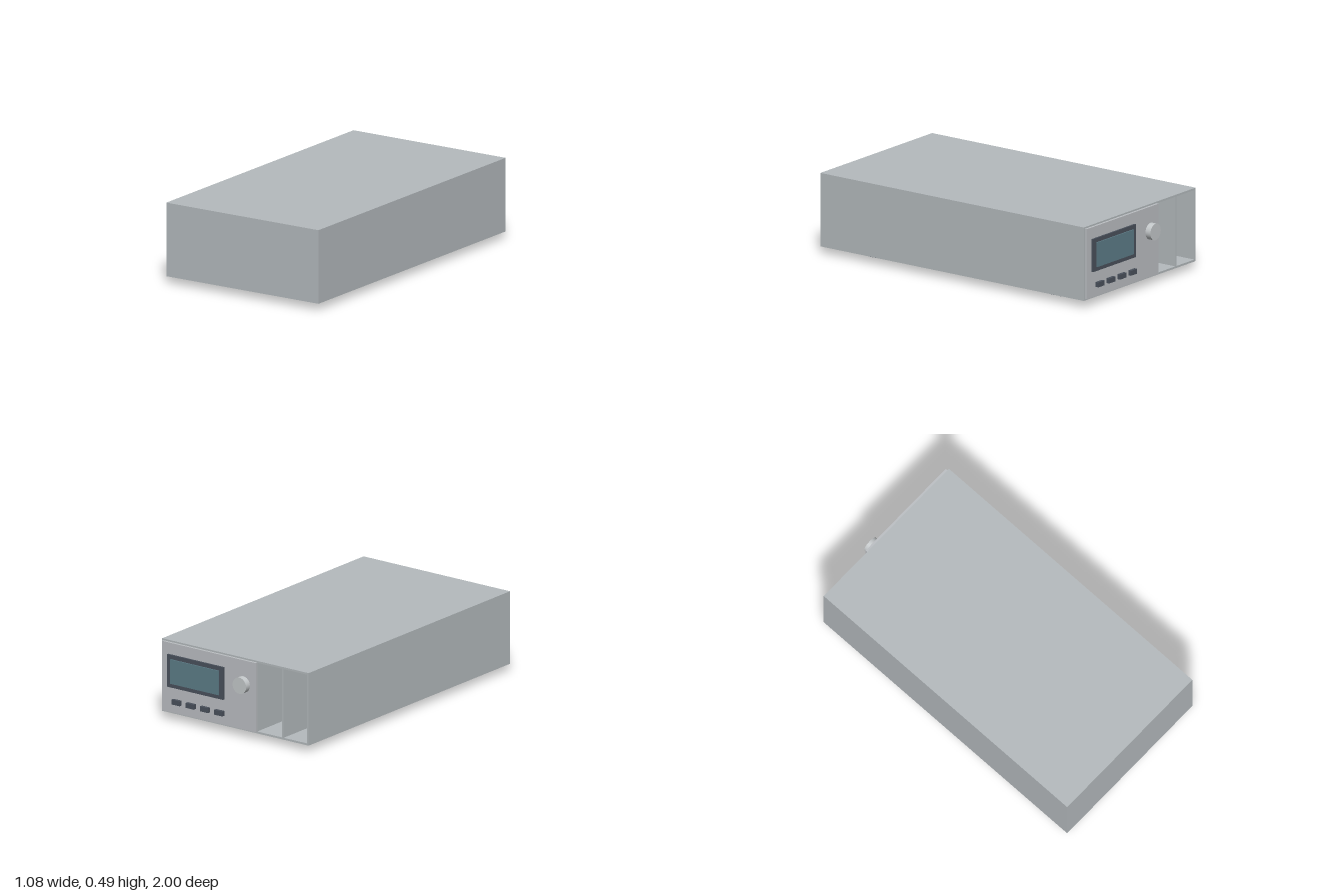
import * as THREE from 'three';

const material = (color) => new THREE.MeshStandardMaterial({ color });

export function createModel() {
  const model = new THREE.Group();
  model.name = 'benchInstrument';

  const caseGrey = material(0xb4babd);
  const panelGrey = material(0xbcbfc3);
  const dark = material(0x4a515c);
  const glass = material(0x5d7d88);
  const knobGrey = material(0xc4c8ca);

  // Box given by its limits on each axis
  function box(name, mat, [x0, x1], [y0, y1], [z0, z1], parent = model) {
    const mesh = new THREE.Mesh(new THREE.BoxGeometry(x1 - x0, y1 - y0, z1 - z0), mat);
    mesh.position.set((x0 + x1) / 2, (y0 + y1) / 2, (z0 + z1) / 2);
    mesh.name = name;
    parent.add(mesh);
    return mesh;
  }

  // Hollow case: rectangular tube, open towards -z
  const W = 0.54, BOTTOM = 0.043, TOP = 0.49, BACK = -0.94, T = 0.012;
  const outline = new THREE.Shape();
  outline.moveTo(-W, BOTTOM).lineTo(W, BOTTOM).lineTo(W, TOP).lineTo(-W, TOP).closePath();
  const opening = new THREE.Path();
  opening.moveTo(-W + T, BOTTOM + T).lineTo(-W + T, TOP - T)
    .lineTo(W - T, TOP - T).lineTo(W - T, BOTTOM + T).closePath();
  outline.holes.push(opening);
  const shell = new THREE.Mesh(
    new THREE.ExtrudeGeometry(outline, { depth: 1 - BACK, bevelEnabled: false }), caseGrey);
  shell.position.z = BACK;
  shell.name = 'caseShell';
  model.add(shell);
  box('caseEndWall', caseGrey, [-W + T, W - T], [BOTTOM + T, TOP - T], [1 - T, 1]);

  // Walls of the two open bays
  for (const x of [-0.155, -0.35]) {
    box('bayDivider', caseGrey, [x - 0.006, x + 0.006], [BOTTOM + T, TOP - T], [BACK, 1 - T]);
  }

  // Control panel with display
  box('controlPanel', panelGrey, [-0.163, 0.53], [0.054, 0.48], [-0.955, BACK]);
  box('displayBezel', dark, [0.07, 0.485], [0.21, 0.41], [-0.967, -0.955]);
  box('displayScreen', glass, [0.1, 0.455], [0.235, 0.385], [-0.974, -0.967]);

  // Row of buttons
  for (let i = 0; i < 4; i++) {
    const x = 0.1 + i * 0.105;
    box('button', dark, [x - 0.03, x + 0.03], [0.11, 0.14], [-0.975, -0.955]);
  }

  // Rotary knob on a short shaft
  const knob = new THREE.Group();
  knob.name = 'knob';
  for (const [name, r, z0, z1] of [['knobShaft', 0.025, -0.965, -0.95], ['knobCap', 0.05, -1, -0.963]]) {
    const mesh = new THREE.Mesh(new THREE.CylinderGeometry(r, r, z1 - z0, 32), knobGrey);
    mesh.rotation.x = Math.PI / 2;
    mesh.position.set(-0.075, 0.335, (z0 + z1) / 2);
    mesh.name = name;
    knob.add(mesh);
  }
  model.add(knob);

  // Feet
  for (const x of [-0.375, 0.375]) {
    for (const z of [-0.645, 0.71]) {
      box('foot', dark, [x - 0.045, x + 0.045], [0, BOTTOM], [z - 0.045, z + 0.045]);
    }
  }

  return model;
}
